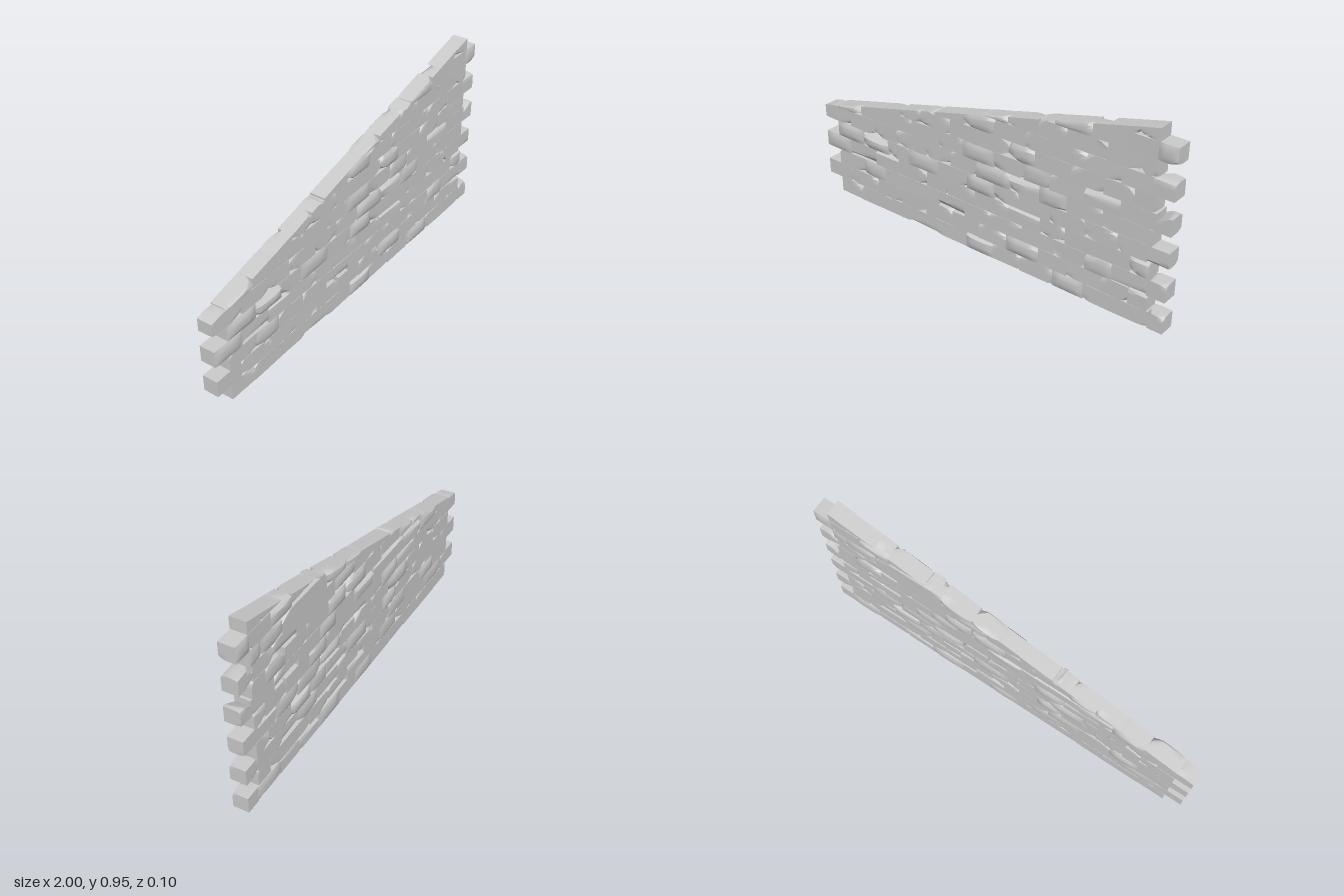
import * as THREE from 'three';
import { toCreasedNormals } from 'three/addons/utils/BufferGeometryUtils.js';

const COURSES = 12, COURSE_H = 0.0805, BRICK_L = 0.1665, HALF_T = 0.039;
const topLine = (x) => 0.717 + 0.25 * x; // sloping top of the wall

// Small seeded random generator
let seed = 7;
function rand(a = 0, b = 1) {
  seed = (seed * 16807) % 2147483647;
  return a + (b - a) * (seed / 2147483647);
}

// Random planes that knock a corner or an edge off a brick
function makeChips(x0, x1, y0) {
  const chips = [];
  const count = Math.floor(rand(1, 5));
  for (let i = 0; i < count; i++) {
    const sx = rand() < 0.5 ? -1 : 1, sy = rand() < 0.5 ? -1 : 1, sz = rand() < 0.5 ? -1 : 1;
    const kind = rand();
    const cut = { sx, sy, sz, a: rand(0.015, 0.07), b: rand(0.01, 0.035), c: rand(0.012, 0.045) };
    if (kind < 0.15) cut.a = 0.6;        // long shallow edge chip
    else if (kind < 0.3) cut.c = 0.3;    // chip running through the wall
    // keep wall ends and the foot tidy
    const atEnd = (sx < 0 && x0 < -0.9) || (sx > 0 && x1 > 0.9);
    const atFoot = sy < 0 && y0 === 0;
    if (atEnd || atFoot) { cut.a *= 0.5; cut.b *= 0.4; cut.c = Math.min(cut.c, 0.025); }
    chips.push(cut);
  }
  return chips;
}

// One rough stone: a box, cut by the slope, pillowed on its faces and chipped
function brickGeometry(x0, x1, y0, y1) {
  const geo = new THREE.BoxGeometry(1, 1, 1, 8, 5, 4);
  const p = geo.attributes.position;
  const front = rand() < 0.25 ? rand(0.004, 0.011) : 0;
  const back = rand() < 0.25 ? rand(0.004, 0.011) : 0;
  const zf = HALF_T + rand(-0.002, 0.001), zb = HALF_T + rand(-0.001, 0.002);
  const tilt = rand(-0.003, 0.003);
  const chips = makeChips(x0, x1, y0);
  for (let i = 0; i < p.count; i++) {
    const u = p.getX(i), v = p.getY(i), w = p.getZ(i);
    let x = THREE.MathUtils.lerp(x0, x1, u + 0.5);
    const top = Math.max(y0, Math.min(y1, topLine(x)));
    let y = THREE.MathUtils.lerp(y0, top, v + 0.5);
    const pillow = (1 - 16 * u ** 4) * (1 - 16 * v ** 4);
    let z = w > 0 ? 2 * w * (zf + front * pillow + tilt * u) : 2 * w * (zb + back * pillow);
    for (const { sx, sy, sz, a, b, c } of chips) {
      const dx = sx > 0 ? x1 - x : x - x0;
      const dy = sy > 0 ? y1 - y : y - y0;
      const dz = HALF_T - sz * z;
      const over = 1 - dx / a - dy / b - dz / c;
      if (over <= 0) continue;
      const k = over / (1 / a ** 2 + 1 / b ** 2 + 1 / c ** 2);
      x -= sx * k / a;
      y -= sy * k / b;
      z -= sz * k / c;
    }
    p.setXYZ(i, x, Math.min(y, Math.max(y0, topLine(x))), z);
  }
  geo.deleteAttribute('uv');
  return toCreasedNormals(geo, 0.5);
}

export function createModel() {
  const wall = new THREE.Group();
  wall.name = 'slopedBrickWall';
  const material = new THREE.MeshStandardMaterial({ color: 0xcccccc });

  for (let row = 0; row < COURSES; row++) {
    const course = new THREE.Group();
    course.name = `course${row + 1}`;
    const y0 = row * COURSE_H;
    const y1 = row === COURSES - 1 ? 1 : y0 + COURSE_H;

    // Alternate courses step out at opposite ends to form the teeth
    const odd = row % 2 === 1;
    const start = odd ? -1 : -0.915, end = odd ? 0.915 : 1;
    const joints = [start];
    for (let x = start + BRICK_L; x < end - 0.05; x += BRICK_L) joints.push(x + rand(-0.02, 0.02));
    joints.push(end);

    const slopeStart = (y0 - 0.717) / 0.25; // where the slope meets this course
    for (let i = 0; i + 1 < joints.length; i++) {
      const x0 = Math.max(joints[i], slopeStart), x1 = joints[i + 1];
      if (x1 - x0 < 0.01) continue;
      const brickTop = Math.min(y1, topLine(x1));
      const brick = new THREE.Mesh(brickGeometry(x0, x1, y0, brickTop), material);
      brick.name = `brick${row + 1}_${i + 1}`;
      course.add(brick);
    }
    wall.add(course);
  }
  return wall;
}
